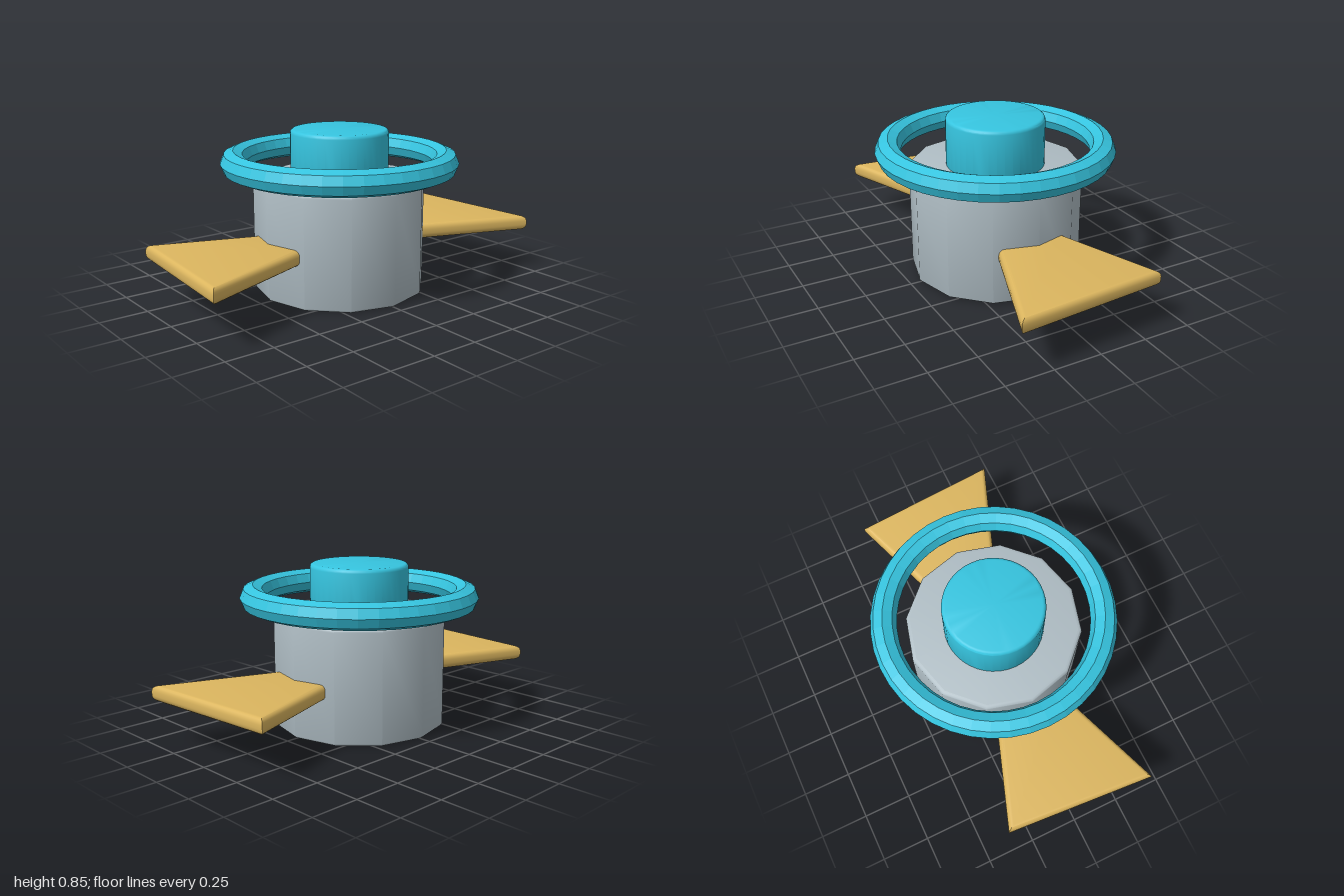
import * as THREE from 'three';
import { toCreasedNormals } from 'three/addons/utils/BufferGeometryUtils.js';

const paint = (color, flatShading = false) => new THREE.MeshStandardMaterial({ color, flatShading });

function addMesh(group, name, geometry, material) {
  const mesh = new THREE.Mesh(geometry, material);
  mesh.name = name;
  group.add(mesh);
  return mesh;
}

// Upright drum with rounded rims
function drum(radius, y0, y1, bevel, sides) {
  const pts = [new THREE.Vector2(0, y0)];
  const steps = 4;
  for (let i = 0; i <= steps; i++) {
    const a = (i / steps) * Math.PI / 2;
    pts.push(new THREE.Vector2(radius - bevel + bevel * Math.sin(a), y0 + bevel - bevel * Math.cos(a)));
  }
  for (let i = 0; i <= steps; i++) {
    const a = (i / steps) * Math.PI / 2;
    pts.push(new THREE.Vector2(radius - bevel + bevel * Math.cos(a), y1 - bevel + bevel * Math.sin(a)));
  }
  pts.push(new THREE.Vector2(0, y1));
  return toCreasedNormals(new THREE.LatheGeometry(pts, sides), 0.6);
}

// Flat flared fin with rounded edges; side is +1 (left) or -1 (right)
function fin(side) {
  const outline = [[0.36, -0.16], [0.94, -0.365], [1.0, 0.42], [0.36, 0.185]];
  const shape = new THREE.Shape(outline.map(([x, z]) => new THREE.Vector2(side * x, z)));
  const bevel = 0.03;
  const geometry = new THREE.ExtrudeGeometry(shape, {
    depth: 0.02, bevelThickness: bevel, bevelSize: bevel, bevelOffset: -bevel, bevelSegments: 4,
  });
  geometry.translate(0, 0, -0.01);
  geometry.rotateX(Math.PI / 2);
  geometry.translate(0, 0.265, 0);
  return toCreasedNormals(geometry, 0.6);
}

export function createModel() {
  const model = new THREE.Group();
  model.name = 'finnedDrum';
  const grey = paint(0xb0bec5);
  const cyan = paint(0x36c5e0);
  const gold = paint(0xdcb65f);

  // Twelve-sided body and the round hub on top
  addMesh(model, 'body', drum(0.45, 0, 0.59, 0.02, 12), grey);
  addMesh(model, 'hub', drum(0.255, 0.57, 0.845, 0.02, 40), cyan);

  // Floating ring around the hub
  const ring = new THREE.TorusGeometry(0.55, 0.067, 8, 40);
  ring.rotateX(Math.PI / 2);
  ring.translate(0, 0.675, 0);
  addMesh(model, 'ring', ring, paint(0x36c5e0, true));

  // Side fins
  addMesh(model, 'leftFin', fin(1), gold);
  addMesh(model, 'rightFin', fin(-1), gold);

  return model;
}
